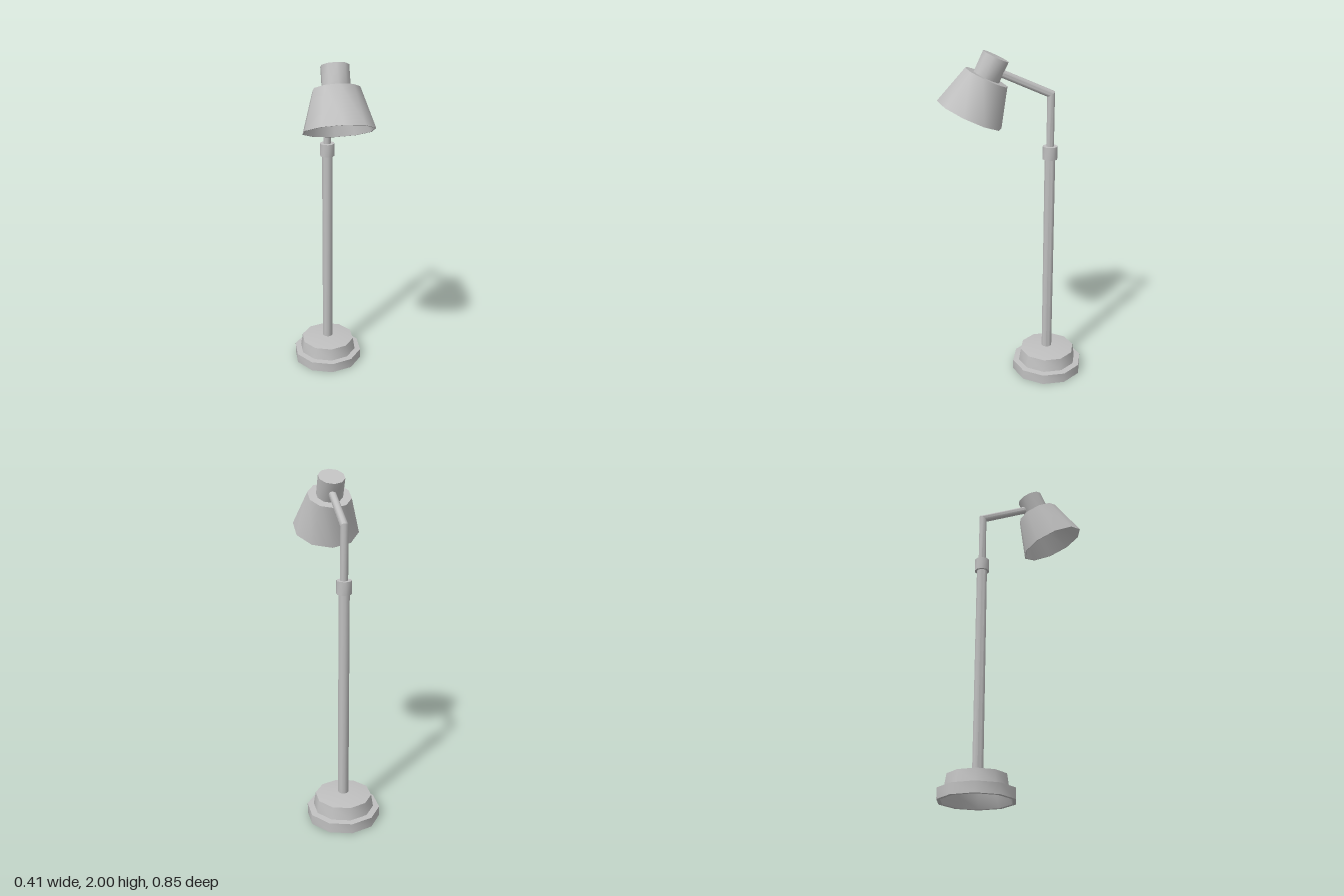
import * as THREE from 'three';
import { toCreasedNormals } from 'three/addons/utils/BufferGeometryUtils.js';

const SIDES = 10;
const STAND_Z = -0.213;
const ARM_TILT = THREE.MathUtils.degToRad(24);

export function createModel() {
  const metal = new THREE.MeshStandardMaterial({ color: 0xc0c0c0 });
  metal.name = 'light grey metal';
  const lamp = new THREE.Group();
  lamp.name = 'floorLamp';

  const add = (parent, name, geometry, x, y, z) => {
    const mesh = new THREE.Mesh(toCreasedNormals(geometry, 0.72), metal);
    mesh.name = name;
    mesh.position.set(x, y, z);
    parent.add(mesh);
    return mesh;
  };
  const turned = (profile) =>
    new THREE.LatheGeometry(profile.map(([r, y]) => new THREE.Vector2(r, y)), SIDES);

  // Tube standing on its origin; its ends can be sheared to form a mitre
  const tube = (radius, length, bottomShear = 0, topShear = 0) => {
    const geometry = new THREE.CylinderGeometry(radius, radius, length, SIDES);
    geometry.translate(0, length / 2, 0);
    const p = geometry.attributes.position;
    for (let i = 0; i < p.count; i++) {
      const shear = p.getY(i) > length / 2 ? topShear : bottomShear;
      p.setY(i, p.getY(i) + p.getZ(i) * shear);
    }
    return geometry;
  };

  // Hollow stepped foot
  add(lamp, 'base', turned([
    [0, 0.14], [0.15, 0.125], [0.165, 0.055], [0.195, 0],
    [0.215, 0], [0.215, 0.06], [0.178, 0.063], [0.166, 0.138], [0, 0.158],
  ]), 0, 0, -0.215);

  // Post and collar
  add(lamp, 'post', tube(0.031, 1.24), 0, 0.145, STAND_Z);
  add(lamp, 'collar', tube(0.043, 0.075), 0, 1.375, STAND_Z);

  // Thin upper post and arm, meeting at a mitred elbow
  const mitre = Math.cos(ARM_TILT) / (1 + Math.sin(ARM_TILT));
  const elbowY = 1.748;
  add(lamp, 'upperPost', tube(0.022, elbowY - 1.44, 0, -mitre), 0, 1.44, STAND_Z);
  const arm = add(lamp, 'arm', tube(0.022, 0.33, mitre, 0), 0, elbowY, STAND_Z);
  arm.rotation.x = Math.PI / 2 - ARM_TILT;

  // Tilted head: socket cap above an open shade
  const head = new THREE.Group();
  head.name = 'head';
  head.position.set(-0.003, 1.963, 0.092);
  head.rotation.x = THREE.MathUtils.degToRad(-25.5);
  lamp.add(head);
  add(head, 'socketCap', tube(0.077, 0.13), 0, -0.13, 0);
  add(head, 'shade', turned([
    [0, -0.132], [0.117, -0.132], [0.189, -0.345],
    [0.195, -0.345], [0.127, -0.122], [0, -0.122],
  ]), 0, 0, 0);

  return lamp;
}
